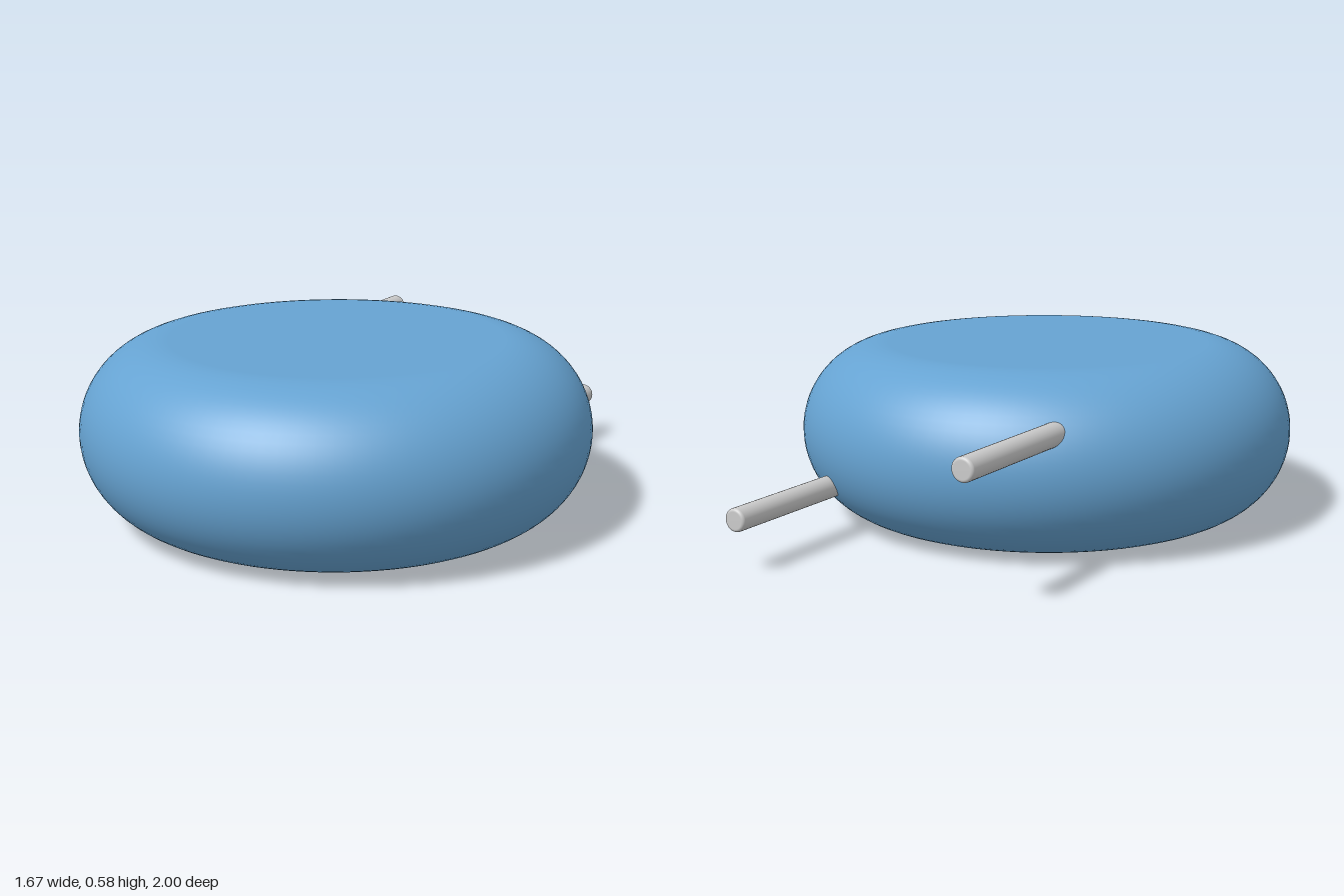
import * as THREE from 'three';

const HEIGHT = 0.58, RADIUS = 0.833, BODY_Z = 0.167;
const LEAD_RADIUS = 0.037, LEAD_BACK = -1, LEAD_INNER = -0.35;

export function createModel() {
  const group = new THREE.Group();
  const blue = new THREE.MeshStandardMaterial({ color: 0x66a3d2 });
  const grey = new THREE.MeshStandardMaterial({ color: 0xcccccc });

  // Coated disc: flat faces joined by a half-round rim
  const r = HEIGHT / 2;
  const outline = [new THREE.Vector2(0, 0)];
  for (let i = 0; i <= 32; i++) {
    const a = -Math.PI / 2 + (Math.PI * i) / 32;
    outline.push(new THREE.Vector2(RADIUS - r + r * Math.cos(a), r + r * Math.sin(a)));
  }
  outline.push(new THREE.Vector2(0, HEIGHT));
  const body = new THREE.Mesh(new THREE.LatheGeometry(outline, 96), blue);
  body.name = 'discBody';
  body.position.z = BODY_Z;
  group.add(body);

  // Wire leads: staggered in height, with softly rounded tips
  const length = LEAD_INNER - LEAD_BACK, tip = 0.01;
  const profile = [new THREE.Vector2(0, 0), new THREE.Vector2(LEAD_RADIUS - tip, 0)];
  for (let i = 1; i <= 5; i++) {
    const a = (Math.PI / 2) * (i / 5);
    profile.push(new THREE.Vector2(LEAD_RADIUS - tip + tip * Math.sin(a), tip - tip * Math.cos(a)));
  }
  profile.push(new THREE.Vector2(LEAD_RADIUS, length), new THREE.Vector2(0, length));
  const leadGeometry = new THREE.LatheGeometry(profile, 32);
  leadGeometry.rotateX(Math.PI / 2);

  for (const [name, x, y] of [['leftLead', 0.405, 0.165], ['rightLead', -0.405, 0.425]]) {
    const lead = new THREE.Mesh(leadGeometry, grey);
    lead.name = name;
    lead.position.set(x, y, LEAD_BACK);
    group.add(lead);
  }
  return group;
}
